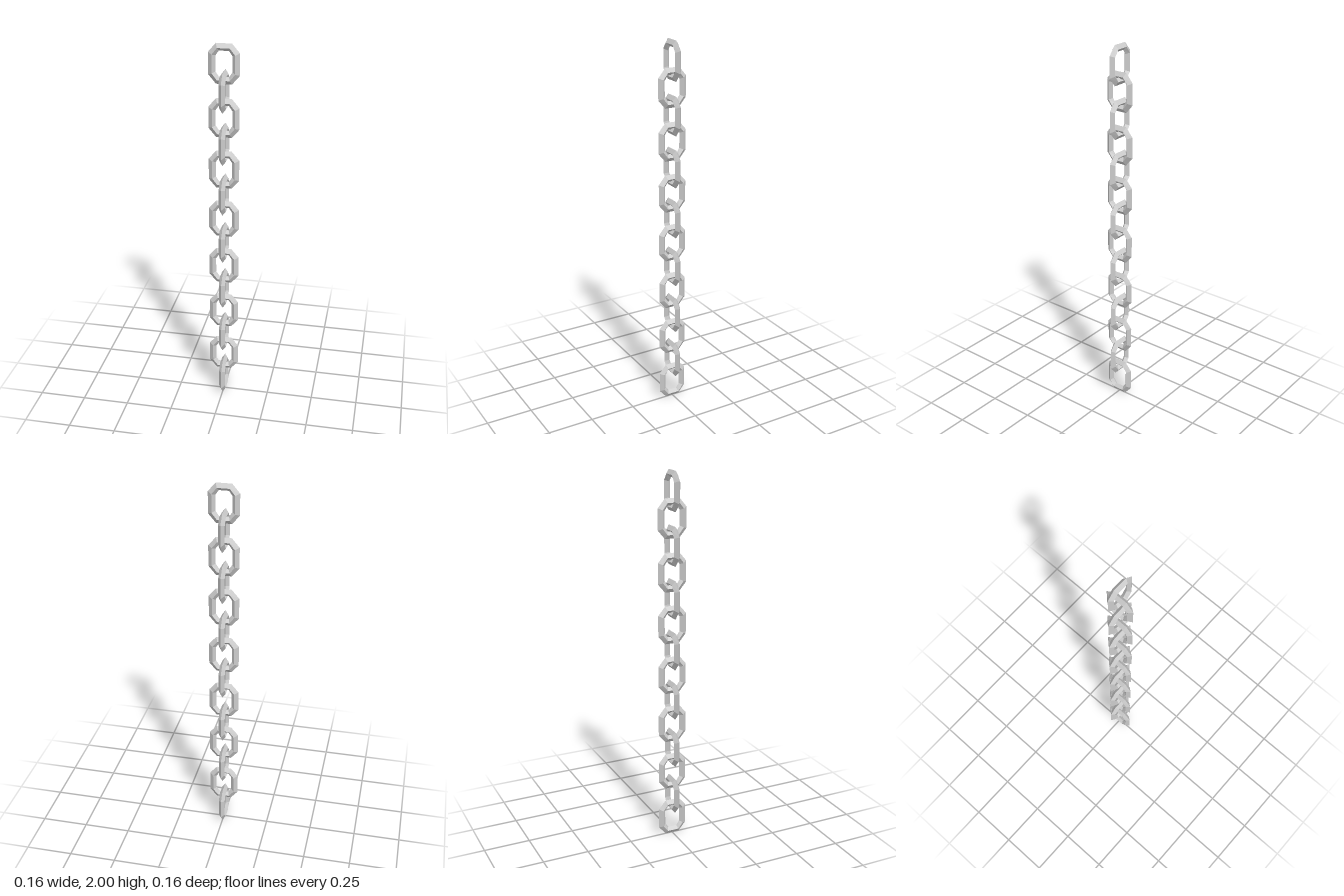
import * as THREE from 'three';

const LINKS = 14;
const HALF_HEIGHT = 0.1015;
const PITCH = (2 - 2 * HALF_HEIGHT) / (LINKS - 1);

// Diamond bar section: [inset from the outer ridge, offset across the link]
const SECTION = [[0, 0], [0.021, 0.0165], [0.037, 0], [0.021, -0.0165]];

// Elongated octagon, counter-clockwise, shrunk inward by d with mitred corners
function octagon(d) {
  const side = [0.079 - d, 0.0555 - 0.42 * d];
  const end = [0.04 - 0.4 * d, HALF_HEIGHT - d];
  const quarter = [side, end];
  const points = [];
  for (const [sx, sy] of [[1, 1], [-1, 1], [-1, -1], [1, -1]]) {
    const pair = sx * sy > 0 ? quarter : [...quarter].reverse();
    for (const [x, y] of pair) points.push([sx * x, sy * y]);
  }
  return points;
}

// Sweep the diamond section round the octagon
function linkGeometry() {
  const rings = SECTION.map(([d, z]) => octagon(d).map(([x, y]) => [x, y, z]));
  const positions = [];
  for (let j = 0; j < 4; j++) {
    for (let i = 0; i < 8; i++) {
      const a = rings[j][i];
      const b = rings[j][(i + 1) % 8];
      const c = rings[(j + 1) % 4][(i + 1) % 8];
      const d = rings[(j + 1) % 4][i];
      positions.push(...a, ...b, ...c, ...a, ...c, ...d);
    }
  }
  const geometry = new THREE.BufferGeometry();
  geometry.setAttribute('position', new THREE.Float32BufferAttribute(positions, 3));
  geometry.computeVertexNormals();
  return geometry;
}

export function createModel() {
  const chain = new THREE.Group();
  chain.name = 'chain';
  const geometry = linkGeometry();
  const material = new THREE.MeshStandardMaterial({ color: 0xcccccc, flatShading: true });

  // Links alternate by a quarter turn; the lowest one faces sideways
  for (let i = 0; i < LINKS; i++) {
    const link = new THREE.Mesh(geometry, material);
    link.name = `chainLink${i + 1}`;
    link.position.y = HALF_HEIGHT + i * PITCH;
    link.rotation.y = i % 2 === 0 ? Math.PI / 2 : 0;
    chain.add(link);
  }
  return chain;
}
